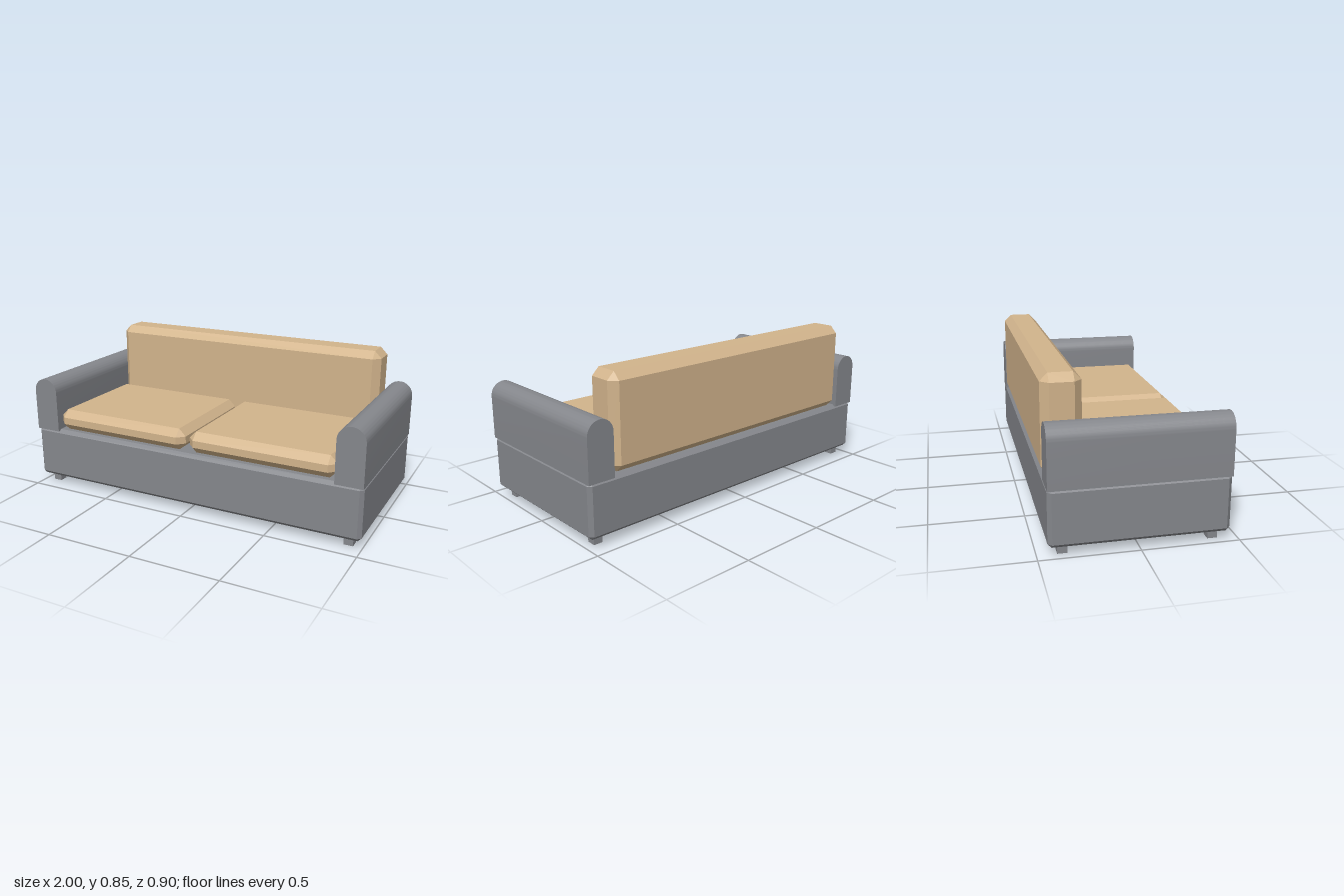
import * as THREE from 'three';
import { ConvexGeometry } from 'three/addons/geometries/ConvexGeometry.js';
import { toCreasedNormals } from 'three/addons/utils/BufferGeometryUtils.js';

// Box between two corners with every edge cut at 45 degrees
function chamferBox([x0, y0, z0], [x1, y1, z1], c) {
  const half = [(x1 - x0) / 2, (y1 - y0) / 2, (z1 - z0) / 2];
  const points = [];
  for (const sx of [-1, 1]) for (const sy of [-1, 1]) for (const sz of [-1, 1]) {
    for (let axis = 0; axis < 3; axis++) {
      const [x, y, z] = half.map((h, i) => (i === axis ? h : h - c));
      points.push(new THREE.Vector3(sx * x, sy * y, sz * z));
    }
  }
  return new ConvexGeometry(points).translate((x0 + x1) / 2, (y0 + y1) / 2, (z0 + z1) / 2);
}

// Armrest: upright slab with a half-round top, extruded front to back
function armGeometry() {
  const r = 0.075, bottom = 0.34, spring = 0.575, depth = 0.9;
  const shape = new THREE.Shape();
  shape.moveTo(-r, bottom);
  shape.lineTo(r, bottom);
  shape.lineTo(r, spring);
  shape.absarc(0, spring, r, 0, Math.PI, false);
  shape.closePath();
  const geo = new THREE.ExtrudeGeometry(shape, { depth, bevelEnabled: false, curveSegments: 16 });
  return toCreasedNormals(geo.translate(0, 0, -depth / 2), 0.6);
}

export function createModel() {
  const sofa = new THREE.Group();
  sofa.name = 'sofa';
  const frame = new THREE.MeshStandardMaterial({ color: 0x85878c });
  const fabric = new THREE.MeshStandardMaterial({ color: 0xd2b48c });

  const add = (name, geometry, material, x = 0, y = 0, z = 0) => {
    const mesh = new THREE.Mesh(geometry, material);
    mesh.name = name;
    mesh.position.set(x, y, z);
    sofa.add(mesh);
  };

  // Base and cushions
  add('base', chamferBox([-1, 0.05, -0.45], [1, 0.35, 0.45], 0.02), frame);
  add('backCushion', chamferBox([-0.85, 0.35, -0.45], [0.85, 0.85, -0.25], 0.04), fabric);
  add('rightSeatCushion', chamferBox([-0.85, 0.35, -0.25], [-0.015, 0.47, 0.44], 0.04), fabric);
  add('leftSeatCushion', chamferBox([0.01, 0.35, -0.25], [0.85, 0.47, 0.44], 0.04), fabric);

  // Armrests and legs, mirrored left and right
  const arm = armGeometry();
  const leg = new THREE.BoxGeometry(0.05, 0.06, 0.05);
  for (const side of [-1, 1]) {
    const label = side > 0 ? 'left' : 'right';
    add(label + 'Armrest', arm, frame, side * 0.925);
    for (const end of [-1, 1]) {
      add(label + (end > 0 ? 'Front' : 'Back') + 'Leg', leg, frame, side * 0.925, 0.03, end * 0.375);
    }
  }
  return sofa;
}
